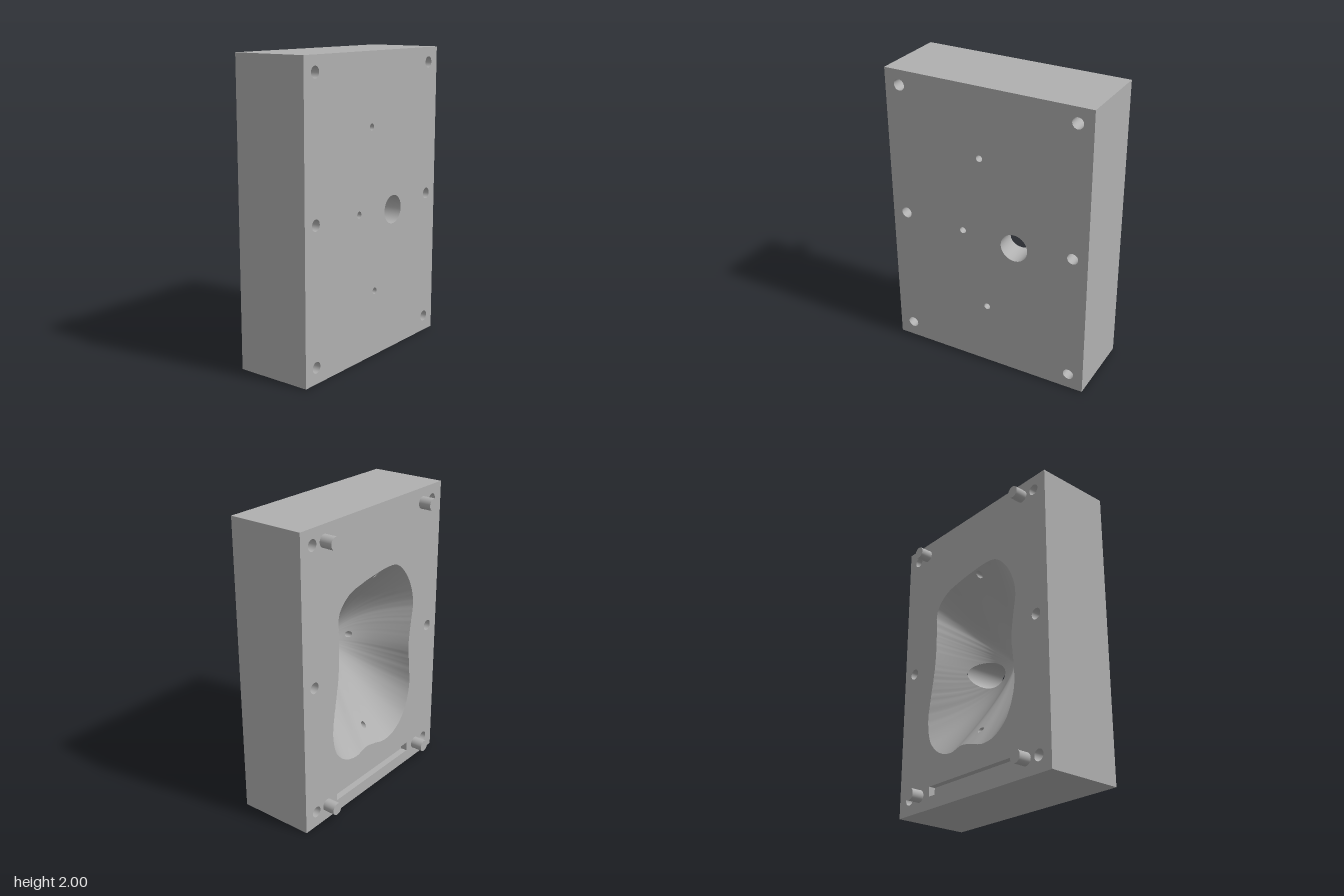
import * as THREE from 'three';

const W = 0.71, H = 2, FRONT = 0.305, BACK = -0.22;
const TAU = Math.PI * 2;

// cavity rim on the back face
const rimPoints = [
  [0.365, 1.40], [0.273, 1.494], [0.119, 1.536], [0, 1.553], [-0.111, 1.563], [-0.226, 1.552],
  [-0.318, 1.48], [-0.395, 1.355], [-0.426, 1.225], [-0.403, 1.066], [-0.387, 0.924], [-0.403, 0.755],
  [-0.41, 0.619], [-0.387, 0.509], [-0.326, 0.395], [-0.226, 0.32], [-0.111, 0.303], [-0.019, 0.327],
  [0.081, 0.345], [0.196, 0.322], [0.311, 0.356], [0.403, 0.449], [0.434, 0.6], [0.411, 0.779],
  [0.38, 0.96], [0.37, 1.1], [0.37, 1.24],
];
const CX = 0.02, CY = 1.0;

// rim radius about the cavity centre, tabulated by angle
const STEPS = 240;
function makeRimRadii() {
  const curve = new THREE.CatmullRomCurve3(rimPoints.map(([x, y]) => new THREE.Vector3(x - CX, y - CY, 0)), true);
  const polar = curve.getPoints(800).map((p) => [(Math.atan2(p.y, p.x) + TAU) % TAU, Math.hypot(p.x, p.y)]);
  polar.sort((a, b) => a[0] - b[0]);
  const radii = [];
  for (let k = 0; k < STEPS; k++) {
    const angle = (k / STEPS) * TAU;
    let best = polar[0];
    for (const p of polar) if (Math.abs(p[0] - angle) < Math.abs(best[0] - angle)) best = p;
    radii.push(best[1]);
  }
  return radii;
}
const radii = makeRimRadii();

// z of the cavity floor: steep sides, gentler slopes to top and bottom
function floorZ(x, y) {
  const dx = x - CX, dy = y - CY;
  const angle = (Math.atan2(dy, dx) + TAU) % TAU;
  const f = (angle / TAU) * STEPS, k = Math.floor(f);
  const r = THREE.MathUtils.lerp(radii[k % STEPS], radii[(k + 1) % STEPS], f - k);
  const t = Math.min(1, Math.hypot(dx, dy) / r);
  const power = 1.3 + 1.6 * Math.cos(angle) ** 2;
  return BACK + 0.4 * (1 - t ** power);
}

// [x, y, radius]
const boltHoles = [-0.607, 0.607].flatMap((x) => [0.107, 1.0, 1.9].map((y) => [x, y, 0.037]));
const cavityHoles = [[-0.043, 1.528, 0.022], [-0.173, 0.985, 0.022], [0, 0.445, 0.022], [0.2, 0.957, 0.095]];
const SEG = 40;

function circlePoints([x, y, r]) {
  return Array.from({ length: SEG }, (_, k) => {
    const a = (k / SEG) * TAU;
    return new THREE.Vector2(x + r * Math.cos(a), y + r * Math.sin(a));
  });
}

function rectPoints(x, y0, y1) {
  return [[-x, y0], [x, y0], [x, y1], [-x, y1]].map(([a, b]) => new THREE.Vector2(a, b));
}

function indexed(positions, index) {
  const g = new THREE.BufferGeometry();
  g.setAttribute('position', new THREE.Float32BufferAttribute(positions, 3));
  g.setIndex(index);
  g.computeVertexNormals();
  return g;
}

// turn a geometry inside out
function flip(g) {
  g.setIndex(Array.from(g.index.array).reverse());
  g.computeVertexNormals();
  return g;
}

function plate(outlines, z) {
  const shape = new THREE.Shape(rectPoints(W, 0, H));
  shape.holes = outlines.map((pts) => new THREE.Path(pts));
  return new THREE.ShapeGeometry(shape).translate(0, 0, z);
}

// inward-facing bore from the front face to the given end surface
function bore(hole, endZ) {
  const pos = [], index = [];
  circlePoints(hole).forEach((p, k) => {
    pos.push(p.x, p.y, FRONT, p.x, p.y, endZ(p.x, p.y));
    const a = k * 2, b = ((k + 1) % SEG) * 2;
    index.push(a, b, a + 1, b, b + 1, a + 1);
  });
  return indexed(pos, index);
}

// polar grid over the cavity; vertices inside a hole move to its edge
function cavityGeometry() {
  const RINGS = 80, pos = [], inHole = [], index = [];
  for (let i = 0; i <= RINGS; i++) {
    for (let k = 0; k < STEPS; k++) {
      const a = (k / STEPS) * TAU, r = radii[k] * Math.max(i / RINGS, 0.0005);
      let x = CX + r * Math.cos(a), y = CY + r * Math.sin(a), inside = -1;
      cavityHoles.forEach(([hx, hy, hr], n) => {
        const d = Math.hypot(x - hx, y - hy);
        if (d >= hr || i === RINGS) return;
        inside = n;
        const s = hr / Math.max(d, 1e-6);
        x = hx + (x - hx) * s;
        y = hy + (y - hy) * s;
      });
      inHole.push(inside);
      pos.push(x, y, floorZ(x, y));
    }
  }
  const tri = (a, b, c) => {
    if (inHole[a] < 0 || inHole[a] !== inHole[b] || inHole[a] !== inHole[c]) index.push(a, b, c);
  };
  for (let i = 0; i < RINGS; i++) {
    for (let k = 0; k < STEPS; k++) {
      const n = (k + 1) % STEPS, a = i * STEPS + k, b = i * STEPS + n;
      tri(a, b, a + STEPS);
      tri(b, b + STEPS, a + STEPS);
    }
  }
  return indexed(pos, index);
}

export function createModel() {
  const group = new THREE.Group();
  const grey = new THREE.MeshStandardMaterial({ color: 0xb0b0b0 });
  grey.name = 'grey';
  const add = (name, geometry) => {
    const mesh = new THREE.Mesh(geometry, grey);
    mesh.name = name;
    group.add(mesh);
    return mesh;
  };

  // block: four outer sides, then the pierced front and back
  const sides = new THREE.BoxGeometry(2 * W, H, FRONT - BACK).translate(0, H / 2, (FRONT + BACK) / 2);
  sides.setIndex(Array.from(sides.index.array).slice(0, 24));
  sides.clearGroups();
  add('blockSides', sides);
  add('frontFace', plate([...boltHoles, ...cavityHoles].map(circlePoints), FRONT));

  const rim = radii.map((r, k) => {
    const a = (k / STEPS) * TAU;
    return new THREE.Vector2(CX + r * Math.cos(a), CY + r * Math.sin(a));
  });
  const slot = { x: 0.4, y0: 0.085, y1: 0.15, depth: 0.045 };
  add('backFace', flip(plate([...boltHoles.map(circlePoints), rim, rectPoints(slot.x, slot.y0, slot.y1)], BACK)));

  // moulded hollow and the bores
  add('cavity', cavityGeometry());
  boltHoles.forEach((h) => add('boltHole', bore(h, () => BACK)));
  cavityHoles.forEach((h) => add(h[2] > 0.05 ? 'fillHole' : 'ventHole', bore(h, floorZ)));

  // shallow slot below the cavity, open to the back
  const slotBox = new THREE.BoxGeometry(2 * slot.x, slot.y1 - slot.y0, slot.depth)
    .translate(0, (slot.y0 + slot.y1) / 2, BACK + slot.depth / 2);
  slotBox.setIndex(Array.from(slotBox.index.array).slice(0, 30));
  slotBox.clearGroups();
  add('slot', flip(slotBox));

  // locating pins
  for (const x of [-0.5, 0.5]) {
    for (const y of [0.107, 1.9]) {
      const pin = new THREE.CylinderGeometry(0.041, 0.041, 0.085, 40).rotateX(Math.PI / 2);
      add('locatingPin', pin).position.set(x, y, BACK - 0.0425);
    }
  }
  return group;
}
